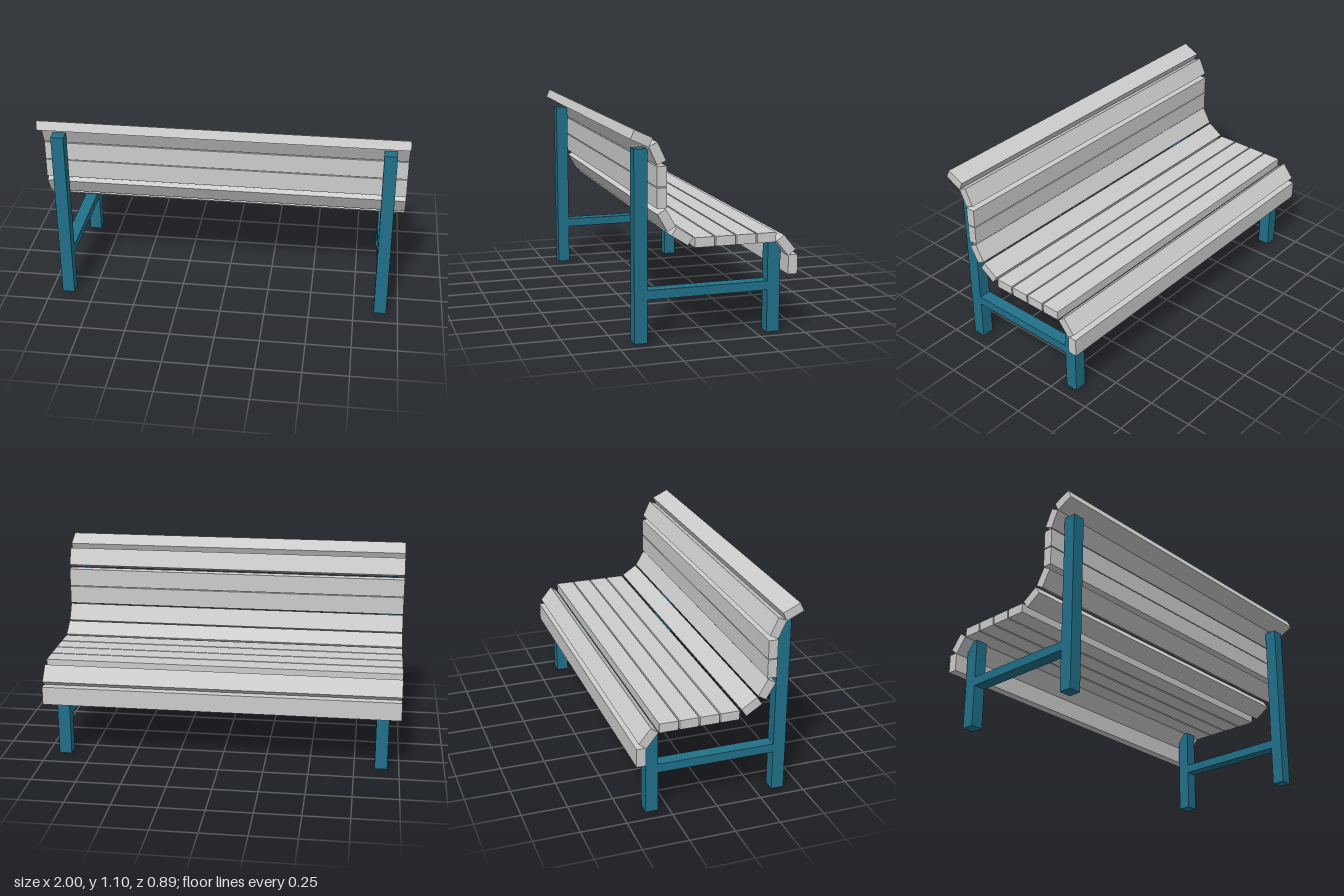
import * as THREE from 'three';

export function createModel() {
  const bench = new THREE.Group();
  bench.name = 'bench';

  const slatGrey = new THREE.MeshStandardMaterial({ color: 0xcccccc });
  slatGrey.name = 'slat grey';
  const frameTeal = new THREE.MeshStandardMaterial({ color: 0x21708a });
  frameTeal.name = 'frame teal';

  // Slats follow a curved side profile: name, z, y, tilt in degrees
  const slats = [
    ['headRoll', 0.388, 1.06, 25],
    ['upperBack', 0.308, 0.982, 65],
    ['back', 0.285, 0.868, 90],
    ['back', 0.285, 0.76, 90],
    ['lowerBack', 0.26, 0.646, 60],
    ['rearSeat', 0.178, 0.56, 33],
    ['seat', 0.06, 0.523, 0],
    ['seat', -0.052, 0.523, 0],
    ['seat', -0.163, 0.523, 0],
    ['seat', -0.274, 0.523, 0],
    ['seatEdge', -0.382, 0.476, 51],
    ['frontApron', -0.421, 0.373, 90],
  ];
  const slatGeometry = new THREE.BoxGeometry(2, 0.051, 0.103);
  slats.forEach(([name, z, y, tilt], i) => {
    const slat = new THREE.Mesh(slatGeometry, slatGrey);
    slat.name = `${name}Slat${i + 1}`;
    slat.position.set(0, y, z);
    slat.rotation.x = -THREE.MathUtils.degToRad(tilt);
    bench.add(slat);
  });

  // Two side frames: tall back leg, short seat leg and a joining rail
  const bar = (name, y0, y1, z0, z1) => {
    const mesh = new THREE.Mesh(new THREE.BoxGeometry(0.07, y1 - y0, z1 - z0), frameTeal);
    mesh.name = name;
    mesh.position.set(0, (y0 + y1) / 2, (z0 + z1) / 2);
    return mesh;
  };
  for (const side of [-1, 1]) {
    const frame = new THREE.Group();
    frame.name = side > 0 ? 'leftFrame' : 'rightFrame';
    frame.add(
      bar('backLeg', 0, 1, 0.34, 0.41),
      bar('seatLeg', 0, 0.5, -0.378, -0.308),
      bar('rail', 0.228, 0.277, -0.308, 0.34),
    );
    frame.position.x = side * 0.9;
    bench.add(frame);
  }
  return bench;
}
